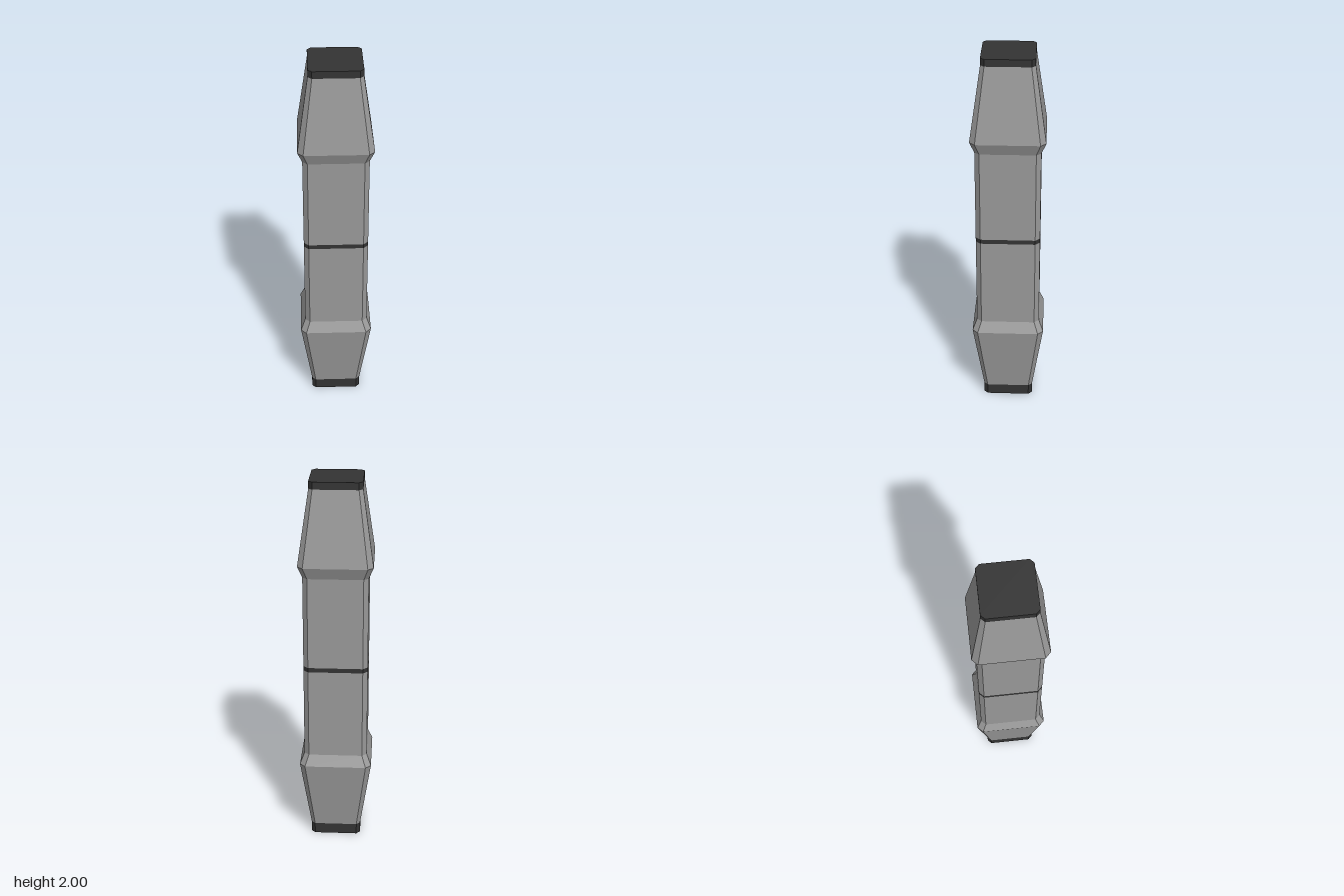
import * as THREE from 'three';

// Eight corners of a chamfered square, counter-clockwise seen from above
function ring(half, y) {
  const f = half * 0.85;
  return [[half, f], [half, -f], [f, -half], [-f, -half], [-half, -f], [-half, f], [-f, half], [f, half]]
    .map(([x, z]) => [x, y, z]);
}

// Flat-faced loft through [half width, height] stations, with optional end faces
function loft(stations, capBottom, capTop) {
  const rings = stations.map(([h, y]) => ring(h, y));
  const pos = [];
  const tri = (a, b, c) => pos.push(...a, ...b, ...c);
  for (let i = 0; i < rings.length - 1; i++) {
    for (let j = 0; j < 8; j++) {
      const k = (j + 1) % 8;
      const a = rings[i][j], b = rings[i][k], c = rings[i + 1][k], d = rings[i + 1][j];
      tri(a, b, c);
      tri(a, c, d);
    }
  }
  const low = rings[0], high = rings[rings.length - 1];
  for (let j = 1; j < 7; j++) {
    if (capBottom) tri(low[0], low[j + 1], low[j]);
    if (capTop) tri(high[0], high[j], high[j + 1]);
  }
  const geo = new THREE.BufferGeometry();
  geo.setAttribute('position', new THREE.Float32BufferAttribute(pos, 3));
  geo.computeVertexNormals();
  return geo;
}

export function createModel() {
  const grey = new THREE.MeshStandardMaterial({ name: 'grey metal', color: 0x999999 });
  const dark = new THREE.MeshStandardMaterial({ name: 'dark grey', color: 0x333333 });
  const model = new THREE.Group();
  model.name = 'staffHandle';

  const add = (name, material, stations, capBottom = false, capTop = false) => {
    const mesh = new THREE.Mesh(loft(stations, capBottom, capTop), material);
    mesh.name = name;
    model.add(mesh);
  };

  // Dark end caps
  add('bottomCap', dark, [[0.135, 0], [0.135, 0.06]], true, true);
  add('topCap', dark, [[0.135, 1.963], [0.135, 2]], true, true);

  // Flared ends running into the straight grip
  add('lowerBody', grey, [[0.135, 0.06], [0.192, 0.452], [0.168, 0.513], [0.168, 1]]);
  add('upperBody', grey, [[0.168, 1.024], [0.168, 1.513], [0.192, 1.575], [0.135, 1.963]]);

  // Dark seam around the middle
  add('middleBand', dark, [[0.168, 1], [0.168, 1.024]]);

  return model;
}
